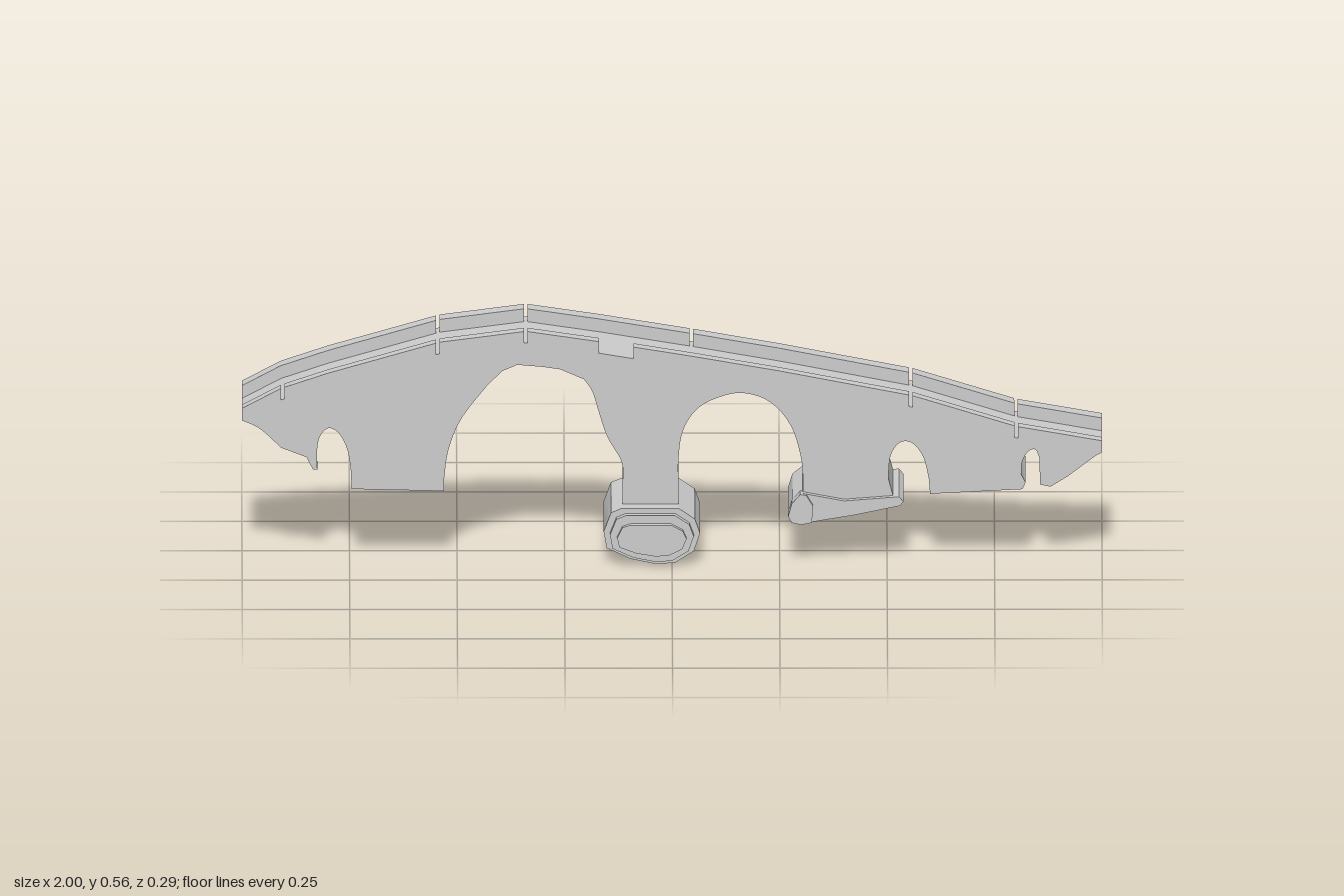
import * as THREE from 'three';
import { toCreasedNormals } from 'three/addons/utils/BufferGeometryUtils.js';

const BACK = -0.145, FRONT = 0.08, CURB = 0.028;
const grey = new THREE.MeshStandardMaterial({ color: 0xcccccc });
const vecs = (pts) => pts.map(([x, y]) => new THREE.Vector2(x, y));

// Extrude an xy outline between two depths
function slab(name, shape, z0, z1) {
  const geo = new THREE.ExtrudeGeometry(shape, { depth: z1 - z0, bevelEnabled: false, curveSegments: 4 });
  geo.translate(0, 0, z0);
  const mesh = new THREE.Mesh(toCreasedNormals(geo, 0.6), grey);
  mesh.name = name;
  return mesh;
}

// Top line of the parapets, left to right
const crest = [[-1, 0.37], [-0.91, 0.418], [-0.8, 0.455], [-0.54, 0.53], [-0.34, 0.556], [-0.17, 0.531],
  [0.05, 0.495], [0.25, 0.46], [0.56, 0.4], [0.8, 0.326], [1, 0.291]];

function crestY(x) {
  const i = Math.max(1, crest.findIndex((p) => p[0] >= x));
  const [a, b] = [crest[i - 1], crest[i]];
  return a[1] + (b[1] - a[1]) * (x - a[0]) / (b[0] - a[0]);
}

// Body with two large arches and two small ones
function bodyShape() {
  const s = new THREE.Shape();
  s.moveTo(-1, 0.37 - CURB);
  for (const [x, y] of crest.slice(1)) s.lineTo(x, y - CURB);
  const line = (...pts) => pts.forEach(([x, y]) => s.lineTo(x, y));
  const arch = (...pts) => { line(pts[0]); s.splineThru(vecs(pts.slice(1))); };
  line([0.985, 0.255], [0.92, 0.205], [0.88, 0.18], [0.856, 0.185]);
  arch([0.854, 0.25], [0.845, 0.27], [0.828, 0.265], [0.814, 0.24], [0.812, 0.21]);
  line([0.822, 0.19], [0.815, 0.174], [0.6, 0.163]);
  arch([0.597, 0.2], [0.585, 0.25], [0.56, 0.285], [0.53, 0.287], [0.508, 0.255], [0.503, 0.2]);
  line([0.515, 0.155], [0.505, 0.14], [0.3, 0.12]);
  arch([0.305, 0.18], [0.3, 0.25], [0.275, 0.33], [0.225, 0.387], [0.16, 0.407], [0.1, 0.393],
    [0.055, 0.365], [0.025, 0.315], [0.015, 0.25], [0.015, 0.19]);
  line([0.015, 0.11], [-0.115, 0.11]);
  arch([-0.115, 0.19], [-0.117, 0.24], [-0.15, 0.3], [-0.17, 0.36], [-0.185, 0.41], [-0.205, 0.44]);
  line([-0.26, 0.464], [-0.3, 0.47], [-0.36, 0.475], [-0.395, 0.46]);
  arch([-0.43, 0.425], [-0.49, 0.345], [-0.52, 0.27], [-0.53, 0.2]);
  line([-0.53, 0.17], [-0.745, 0.175]);
  arch([-0.747, 0.22], [-0.755, 0.27], [-0.775, 0.31], [-0.8, 0.322], [-0.82, 0.3], [-0.826, 0.265]);
  line([-0.825, 0.222], [-0.835, 0.222], [-0.85, 0.252]);
  arch([-0.91, 0.275], [-0.94, 0.305], [-0.965, 0.325], [-1, 0.355 - CURB / 2]);
  s.closePath();
  return s;
}

// Parapet split into blocks; each gap is [start, end] in x
function parapet(name, z0, z1, gaps, lift) {
  const group = new THREE.Group();
  group.name = name;
  let start = -1;
  for (const [gapStart, gapEnd] of [...gaps, [1, 1]]) {
    const a = start, b = gapStart;
    const xs = [a, ...crest.map((p) => p[0]).filter((x) => x > a + 0.001 && x < b - 0.001), b];
    const top = xs.map((x) => [x, crestY(x) + lift]);
    const bottom = xs.map((x) => [x, crestY(x) - CURB]).reverse();
    group.add(slab('parapetBlock', new THREE.Shape(vecs([...top, ...bottom])), z0, z1));
    start = gapEnd;
  }
  return group;
}

const joint = (x) => [x - 0.004, x + 0.004];

// Rounded pier foot outline, scaled about its centre
function footShape(sx, sy, cy) {
  const pts = [[-0.07, 0.068], [-0.095, 0.057], [-0.112, 0.012], [-0.105, -0.028], [-0.05, -0.054], [0.012, -0.067],
    [0.055, -0.063], [0.098, -0.035], [0.112, 0.008], [0.1, 0.042], [0.062, 0.068]];
  return new THREE.Shape(vecs(pts.map(([x, y]) => [-0.047 + x * sx, cy + y * sy])));
}

export function createModel() {
  const model = new THREE.Group();
  model.name = 'archBridge';
  model.add(slab('bridgeBody', bodyShape(), BACK, FRONT));

  model.add(parapet('frontParapet', 0.048, FRONT,
    [joint(-0.905), joint(-0.545), joint(-0.34), [-0.17, -0.09], joint(0.555), joint(0.8)], 0));
  model.add(parapet('backParapet', BACK, -0.103,
    [joint(-0.545), joint(-0.34), joint(0.045), joint(0.555), joint(0.8)], 0.003));

  // Main pier foot, stepped towards the front
  model.add(slab('pierFoot', footShape(1, 1, 0.07), BACK, 0.115));
  model.add(slab('pierFootStep', footShape(0.87, 0.83, 0.069), 0.11, 0.134));
  model.add(slab('pierFootCap', footShape(0.72, 0.56, 0.068), 0.13, 0.147));

  // Low foot below the second pier
  const lowFoot = vecs([[0.305, 0.168], [0.28, 0.148], [0.27, 0.115], [0.278, 0.1], [0.3, 0.095], [0.42, 0.115],
    [0.53, 0.138], [0.538, 0.148], [0.528, 0.16], [0.4, 0.15]]);
  model.add(slab('lowPierFoot', new THREE.Shape(lowFoot), BACK, 0.095));
  const stone = vecs([[0.298, 0.168], [0.278, 0.145], [0.27, 0.115], [0.278, 0.1], [0.3, 0.095], [0.325, 0.1],
    [0.328, 0.14], [0.312, 0.166]]);
  model.add(slab('lowPierStone', new THREE.Shape(stone), 0.07, 0.105));
  return model;
}
